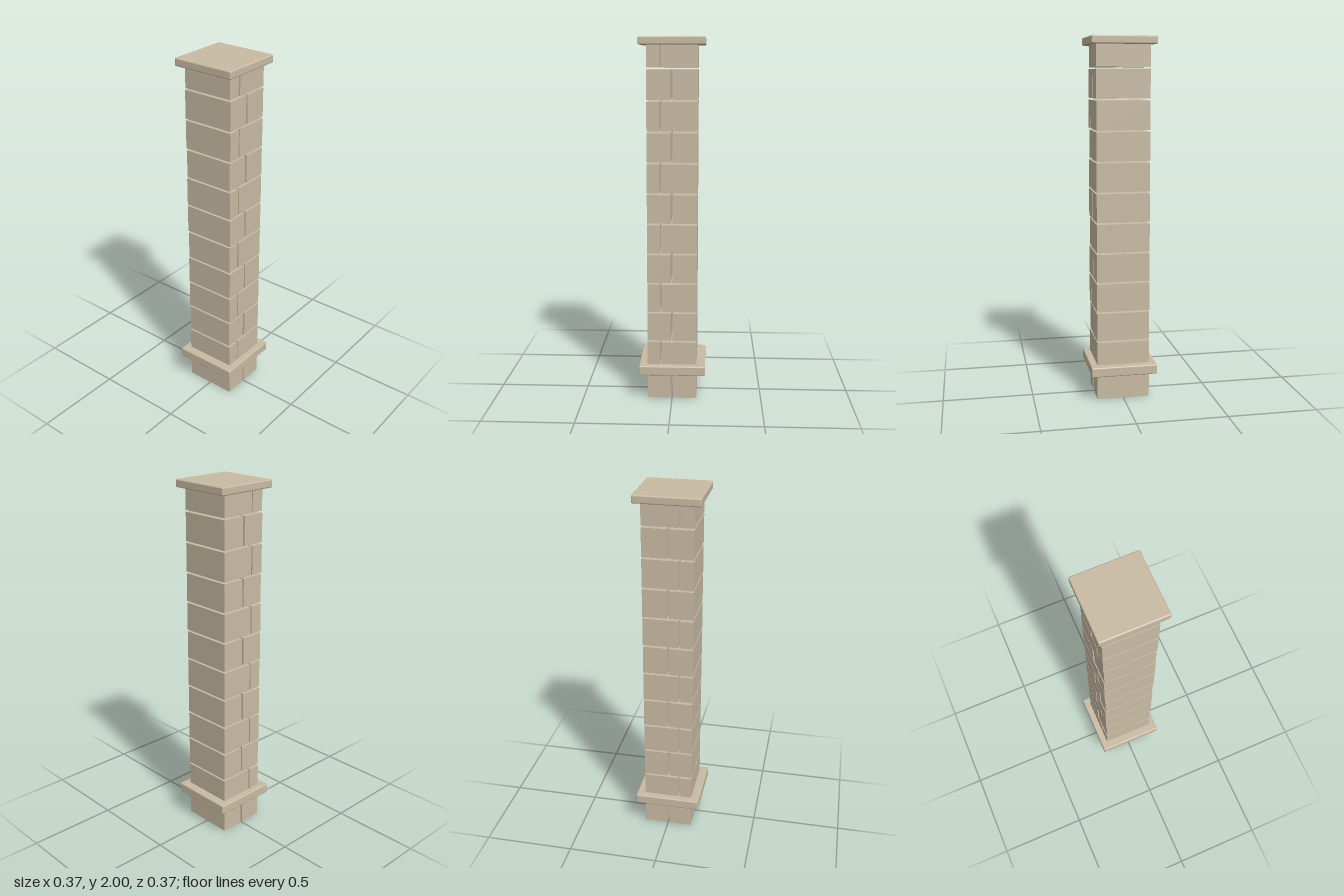
import * as THREE from 'three';
import { RoundedBoxGeometry } from 'three/addons/geometries/RoundedBoxGeometry.js';

export function createModel() {
  const pillar = new THREE.Group();
  pillar.name = 'stonePillar';
  const stone = new THREE.MeshStandardMaterial({ color: 0xc8bba3 });
  stone.name = 'sandstone';

  const add = (name, geometry, x, y) => {
    const mesh = new THREE.Mesh(geometry, stone);
    mesh.name = name;
    mesh.position.set(x, y, 0);
    pillar.add(mesh);
  };

  // Courses of two blocks each, joints alternating between centre and off-centre
  const courses = 12, pitch = 2 / courses, halfWidth = 0.137;
  for (let i = 0; i < courses; i++) {
    const bottom = i === 0 ? 0 : i * pitch + 0.005;
    const top = i === courses - 1 ? 1.965 : (i + 1) * pitch - 0.005;
    const joint = i % 2 === 0 ? -0.002 : -0.063;
    const gap = i % 2 === 0 ? 0.011 : 0.008;
    const spans = [[-halfWidth, joint - gap / 2], [joint + gap / 2, halfWidth]];
    spans.forEach(([x0, x1], side) => {
      // every third course has one slightly shallower block
      const depth = i % 3 === 2 && side === 0 ? 0.288 : 0.294;
      add(side ? 'leftBlock' : 'rightBlock',
        new THREE.BoxGeometry(x1 - x0, top - bottom, depth), (x0 + x1) / 2, (top + bottom) / 2);
    });
  }

  // Projecting base collar and top cap with softened edges
  add('baseCollar', new RoundedBoxGeometry(0.37, 0.055, 0.37, 2, 0.007), 0, 0.1725);
  add('topCap', new RoundedBoxGeometry(0.354, 0.043, 0.354, 2, 0.007), 0, 1.9785);

  return pillar;
}
